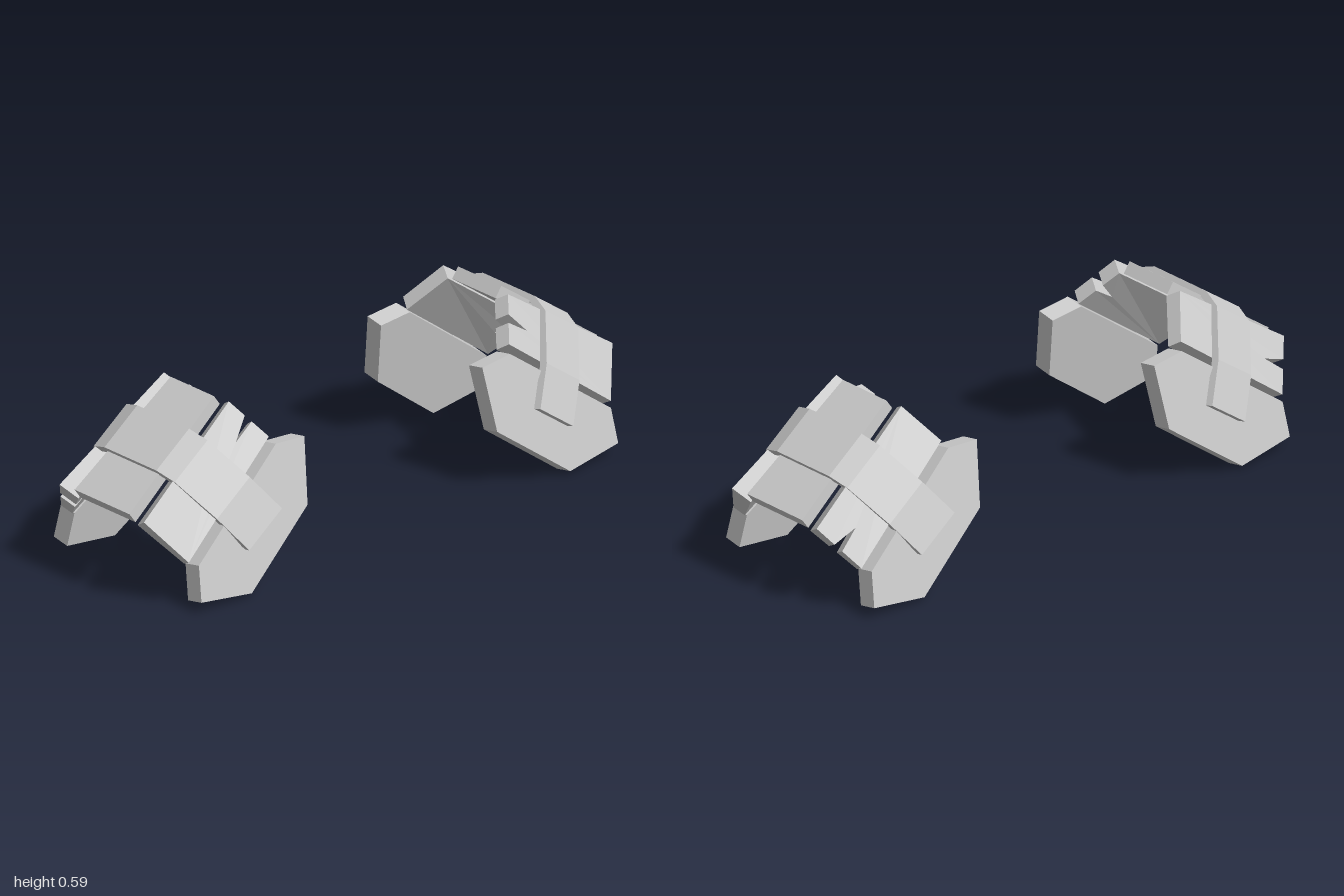
import * as THREE from 'three';

const TILT = THREE.MathUtils.degToRad(36);
const C = Math.cos(TILT), S = Math.sin(TILT);
const lerp = THREE.MathUtils.lerp;
const material = new THREE.MeshStandardMaterial({ color: 0xcccccc, flatShading: true });

// pad frame (w = across the shoulder, n = outward, z = depth) to model space
const tilted = (w, n, z) => [w * C + n * S, n * C - w * S, z];

// Extrudes an outline to unit depth, then places every vertex by a rule (a, b, depth) => [x, y, z]
function prism(name, outline, rule, sideX) {
  const shape = new THREE.Shape(outline.map(([a, b]) => new THREE.Vector2(a, b)));
  const geo = new THREE.ExtrudeGeometry(shape, { depth: 1, bevelEnabled: false });
  geo.deleteAttribute('uv');
  const p = geo.attributes.position;
  for (let i = 0; i < p.count; i++) {
    const [x, y, z] = rule(p.getX(i), p.getY(i), p.getZ(i));
    p.setXYZ(i, x * sideX, y, z);
  }
  // turn the faces outward again where the rule mirrored them
  const a = new THREE.Vector3(), b = new THREE.Vector3(), c = new THREE.Vector3();
  let volume = 0;
  for (let i = 0; i < p.count; i += 3) {
    a.fromBufferAttribute(p, i);
    b.fromBufferAttribute(p, i + 1);
    c.fromBufferAttribute(p, i + 2);
    volume += a.dot(b.cross(c));
  }
  if (volume < 0) {
    for (let i = 0; i < p.count; i += 3) {
      b.fromBufferAttribute(p, i + 1);
      c.fromBufferAttribute(p, i + 2);
      p.setXYZ(i + 1, c.x, c.y, c.z);
      p.setXYZ(i + 2, b.x, b.y, b.z);
    }
  }
  geo.computeVertexNormals();
  const mesh = new THREE.Mesh(geo, material);
  mesh.name = name;
  return mesh;
}

// Sloped plate corners as [z, n] at its inner and outer ends
const ENDS = [
  { outTop: [0.150, 0.822], outLow: [0.245, 0.680], inTop: [0.109, 0.790], inLow: [0.207, 0.648] },
  { outTop: [0.195, 0.835], outLow: [0.295, 0.667], inTop: [0.137, 0.790], inLow: [0.258, 0.643] },
];

function slopedRule(sideZ) {
  return (u, s, t) => {
    const [e0, e1] = ENDS.map((e) => [0, 1].map((k) =>
      lerp(lerp(e.outTop[k], e.outLow[k], s), lerp(e.inTop[k], e.inLow[k], s), t)));
    return tilted(lerp(0.14, 0.63, u), lerp(e0[1], e1[1], u), sideZ * lerp(e0[0], e1[0], u));
  };
}

function createPad(sideX, label) {
  const pad = new THREE.Group();
  pad.name = label;

  // flat plate on the crown
  pad.add(prism('crownPlate',
    [[0.15, -0.1], [0.626, -0.127], [0.626, 0.127], [0.15, 0.1]],
    (w, z, t) => tilted(w, 0.838 - 0.043 * t, z), sideX));

  // arched strap over all plates
  const outer = [[0.12, 0.857], [0.187, 0.829], [0.288, 0.68], [0.348, 0.54]];
  const inner = [[0.323, 0.533], [0.265, 0.668], [0.176, 0.806], [0.115, 0.832]];
  const half = [...outer, ...inner];
  const mirror = (pts) => pts.map(([z, n]) => [-z, n]).reverse();
  pad.add(prism('strap',
    [...half, ...mirror(half)],
    (z, n, t) => tilted(lerp(0.29, 0.463, t), n, z), sideX));

  for (const sideZ of [1, -1]) {
    const where = sideZ > 0 ? 'front' : 'back';

    // sloped plate, notched at the inner end in front and at the outer end behind
    const notched = [[0, 0], [1, 0], [1, 1], [0, 1], [0, 0.57], [0.18, 0.54], [0, 0.4]];
    const outline = sideZ > 0 ? notched : notched.map(([u, s]) => [1 - u, s]);
    pad.add(prism(where + 'SlopedPlate', outline, slopedRule(sideZ), sideX));

    // large hanging plate, leaning inward as it rises
    pad.add(prism(where + 'HangingPlate',
      [[0.38, 0.435], [0.405, 0.22], [0.68, 0.013], [0.89, 0.043], [0.88, 0.16], [0.5, 0.445]],
      (x, y, t) => [x, y - 0.012 * t, sideZ * (0.35 - 0.195 * y - 0.062 * t)], sideX));
  }
  return pad;
}

export function createModel() {
  const model = new THREE.Group();
  model.name = 'shoulderPads';
  model.add(createPad(1, 'leftShoulderPad'), createPad(-1, 'rightShoulderPad'));
  return model;
}
